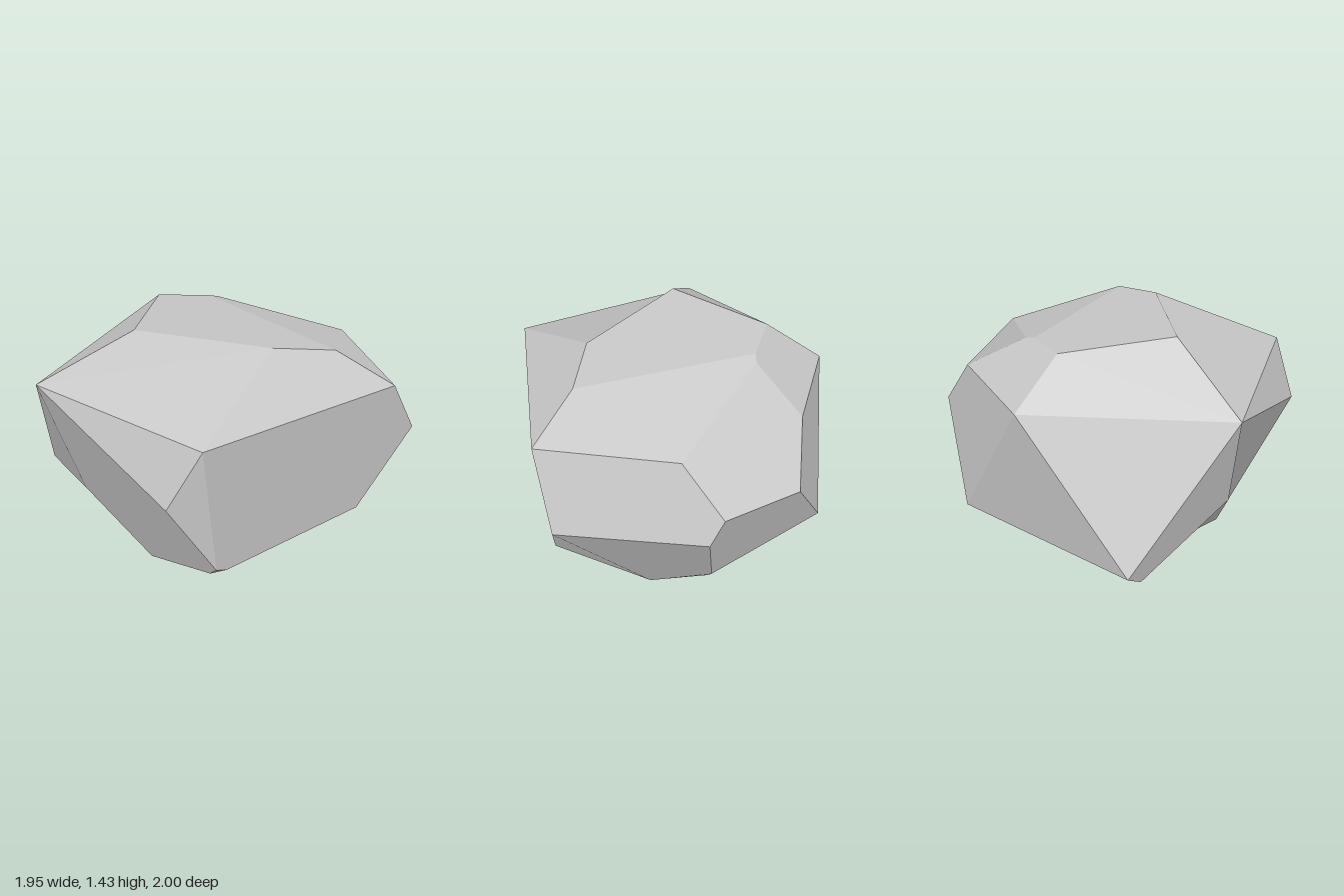
import * as THREE from 'three';

const stone = new THREE.MeshStandardMaterial({ color: 0xc6c6c6 });
stone.name = 'light grey stone';

// Corners of the boulder; a small letter marks the bevel twin of a nearby corner
const corners = {
  // crown
  A: [-0.4, 1.435, -0.25], B: [0.165, 1.39, -0.53], C: [-0.12, 1.41, 0.45],
  D: [0.165, 1.35, 0.67], E: [0.37, 1.37, -0.31], e: [0.43, 1.35, -0.28],
  // shoulder
  F: [0.78, 1.175, 0.39], G: [0.76, 1.18, -0.35], J: [0.3, 1.17, 0.97],
  M: [0.3, 1.165, -0.82], N: [-0.81, 1.17, -0.61], O: [-0.85, 1.17, 0.53],
  // waist
  H: [0.97, 0.885, 0.25], I: [0.97, 0.885, -0.21], K: [0.55, 0.81, 1],
  L: [0.925, 0.705, 0.305], R: [-0.98, 0.855, 0.4], n: [-0.74, 0.56, -0.37],
  // lower ring
  T: [0.2, 0.385, 0.86], S: [-0.7, 0.385, 0.57], s: [-0.78, 0.39, 0.52],
  t: [-0.78, 0.43, 0.56], P: [-0.34, 0.4, -1], p: [-0.4, 0.38, -0.97],
  X: [0.73, 0.4, -0.57], Y: [0.845, 0.41, 0.235], y: [0.81, 0.37, 0.235],
  // foot
  U: [0.57, 0.235, 0.46], V: [0.38, 0.125, 0.28], Z: [-0.24, 0.215, -0.64],
  Q: [-0.63, 0.17, 0], W: [-0.1, 0, 0.25], w: [-0.26, 0, 0.04],
};

// Facets as loops of corners, each filled as a fan from its first corner
const regions = {
  boulderCrown: ['CDEBA', 'NOCA', 'NABM', 'BMGeE', 'FJDEe', 'OJDC', 'FeGIH'],
  boulderSides: [
    'JOtSTK', 'KJFHL', 'UTKLYy', 'HIXYL', 'GMXI', 'MPX', 'MNP',
    'NnpP', 'NOR', 'ORt', 'QnNRts',
  ],
  boulderUnderside: [
    'VWSTU', 'tsS', 'sSW', 'sWw', 'swQ', 'ZpnQw', 'XZwWV', 'XVUy', 'XyY', 'XPpZ',
  ],
};

const middle = new THREE.Vector3(0, 0.72, 0);

// One mesh of facets, every facet evenly shaded with its own average normal
function facetMesh(name, facets) {
  const positions = [];
  const normals = [];
  for (const facet of facets) {
    const loop = [...facet].map((key) => new THREE.Vector3(...corners[key]));
    const normal = new THREE.Vector3();
    loop.forEach((a, i) => {
      const b = loop[(i + 1) % loop.length];
      normal.add(a.clone().sub(middle).cross(b.clone().sub(middle)));
    });
    // Turn the loop so that it faces outward
    const centre = loop.reduce((sum, v) => sum.add(v), new THREE.Vector3()).divideScalar(loop.length);
    if (normal.dot(centre.sub(middle)) < 0) {
      normal.negate();
      loop.push(loop.shift());
      loop.reverse();
    }
    normal.normalize();
    for (let i = 1; i < loop.length - 1; i++) {
      for (const v of [loop[0], loop[i], loop[i + 1]]) {
        positions.push(...v);
        normals.push(...normal);
      }
    }
  }
  const geometry = new THREE.BufferGeometry();
  geometry.setAttribute('position', new THREE.Float32BufferAttribute(positions, 3));
  geometry.setAttribute('normal', new THREE.Float32BufferAttribute(normals, 3));
  const mesh = new THREE.Mesh(geometry, stone);
  mesh.name = name;
  return mesh;
}

export function createModel() {
  const group = new THREE.Group();
  group.name = 'boulder';
  for (const [name, facets] of Object.entries(regions)) group.add(facetMesh(name, facets));
  return group;
}
